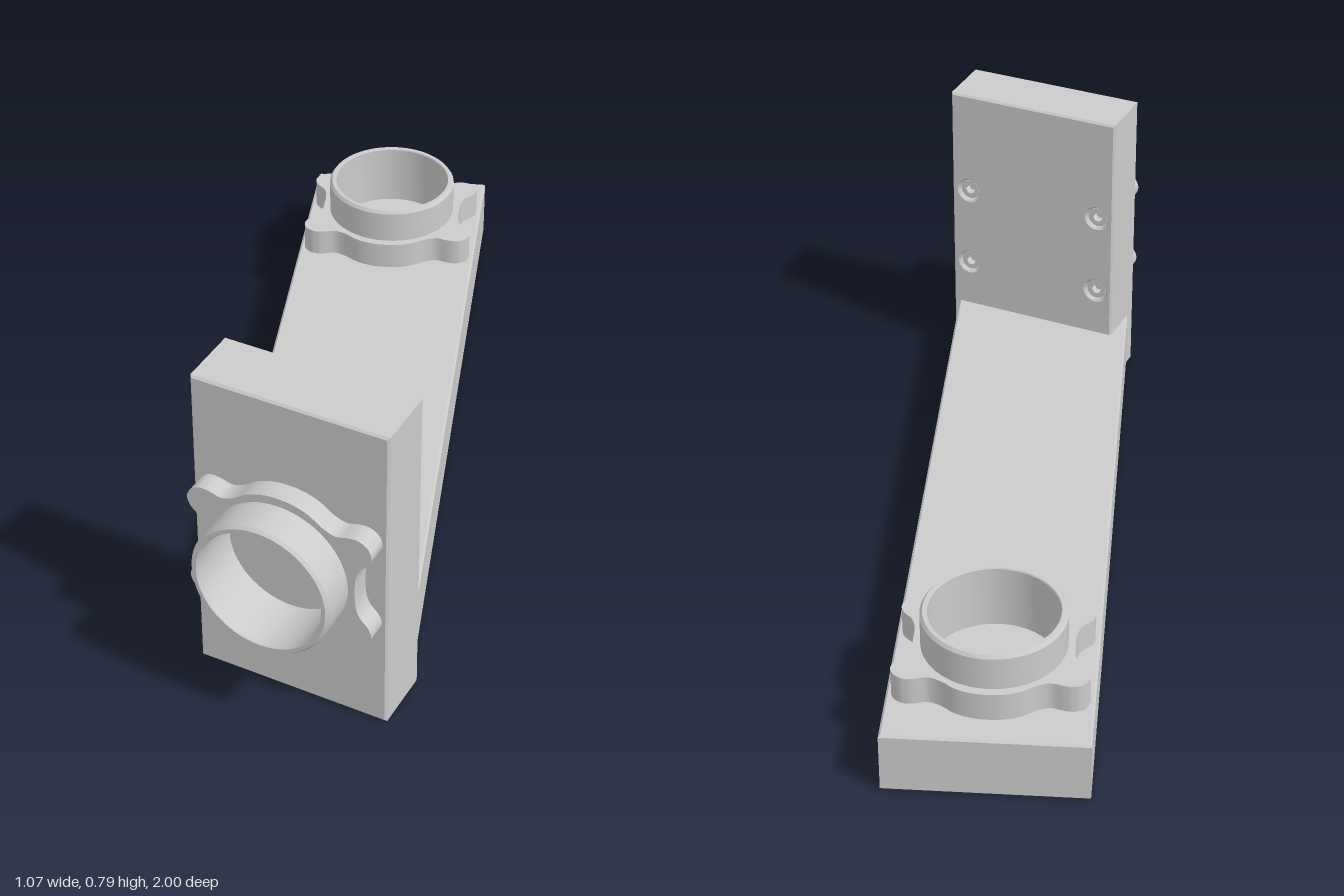
import * as THREE from 'three';
import { toCreasedNormals } from 'three/addons/utils/BufferGeometryUtils.js';

const material = new THREE.MeshStandardMaterial({ color: 0xcccccc });
const THICK = 0.155, BEVEL = 0.005, TILT = THREE.MathUtils.degToRad(20);
const BOLTS = [[1, 1], [-1, 1], [-1, -1], [1, -1]].map(([x, y]) => new THREE.Vector2(x * 0.185, y * 0.11));

function mesh(name, geometry, crease = 0.5) {
  const m = new THREE.Mesh(toCreasedNormals(geometry, crease), material);
  m.name = name;
  return m;
}

function circle(x, y, r) {
  return new THREE.Path().absarc(x, y, r, 0, Math.PI * 2, true);
}

// Chamfered plate, pierced by the four bolt holes around a centre
function plate(corners, centre, angle) {
  const shape = new THREE.Shape(corners.map(([x, y]) => new THREE.Vector2(x, y)));
  for (const b of BOLTS) {
    const p = b.clone().rotateAround(new THREE.Vector2(), angle).add(centre);
    shape.holes.push(circle(p.x, p.y, 0.029));
  }
  const g = new THREE.ExtrudeGeometry(shape, {
    depth: THICK - 2 * BEVEL, bevelThickness: BEVEL, bevelSize: BEVEL,
    bevelOffset: -BEVEL, bevelSegments: 1, curveSegments: 14,
  });
  return g.translate(0, 0, BEVEL);
}

// Four-lobed flange outline, mirrored from one quarter
function flangeShape() {
  const q = [[0, 0.185], [0.04, 0.181], [0.075, 0.168], [0.105, 0.147], [0.135, 0.136],
    [0.165, 0.143], [0.19, 0.144], [0.212, 0.13], [0.22, 0.108], [0.212, 0.086],
    [0.193, 0.066], [0.183, 0.04], [0.181, 0]];
  const half = [...q, ...q.slice(0, -1).reverse().map(([x, y]) => [x, -y])];
  const all = [...half, ...half.slice(1, -1).reverse().map(([x, y]) => [-x, y])];
  const curve = new THREE.CatmullRomCurve3(all.map(([x, y]) => new THREE.Vector3(x, y, 0)), true);
  const points = curve.getPoints(144).slice(0, -1).map((p) => new THREE.Vector2(p.x, p.y));
  const shape = new THREE.Shape(points);
  shape.holes.push(circle(0, 0, 0.148));
  return shape;
}

// Socket-head screw whose head faces -z
function screw() {
  const g = new THREE.Group();
  g.name = 'screw';
  const head = new THREE.Shape().absarc(0, 0, 0.026, 0, Math.PI * 2, false);
  const hex = [];
  for (let i = 0; i < 6; i++) {
    const a = -i * Math.PI / 3;
    hex.push(new THREE.Vector2(0.013 * Math.cos(a), 0.013 * Math.sin(a)));
  }
  head.holes.push(new THREE.Path(hex));
  g.add(mesh('screwHead', new THREE.ExtrudeGeometry(head, { depth: 0.02, bevelEnabled: false, curveSegments: 14 })));
  const shank = new THREE.CylinderGeometry(0.029, 0.029, 0.06, 24).rotateX(Math.PI / 2).translate(0, 0, 0.05);
  g.add(mesh('screwShank', shank));
  return g;
}

// Flanged collar standing along +z, with its screws on the far side of the plate
function collar(name, plateDepth) {
  const g = new THREE.Group();
  g.name = name;
  g.add(mesh('flange', new THREE.ExtrudeGeometry(flangeShape(), { depth: 0.07, bevelEnabled: false, curveSegments: 32 })));
  const profile = [[0.165, 0], [0.165, 0.152], [0.159, 0.16], [0.15, 0.16], [0.148, 0.157], [0.148, 0]];
  const tube = new THREE.LatheGeometry(profile.map(([x, y]) => new THREE.Vector2(x, y)), 64);
  g.add(mesh('collarTube', tube.rotateX(Math.PI / 2)));
  for (const b of BOLTS) {
    const s = screw();
    s.position.set(b.x, b.y, -plateDepth + 0.008);
    g.add(s);
  }
  return g;
}

export function createModel() {
  const model = new THREE.Group();
  model.name = 'angledBracket';

  // Upright plate at the front
  const upright = mesh('uprightPlate',
    plate([[0.07, 0], [0.535, 0], [0.535, 0.785], [0.07, 0.785]], new THREE.Vector2(0.302, 0.394), 0));
  upright.position.z = 0.705;
  model.add(upright);

  // Flat arm running diagonally back, its front end buried in the upright
  const arm = mesh('baseArm',
    plate([[-0.535, 0.84], [0.078, -0.845], [0.53, -0.845], [0.53, -0.73], [-0.1, 1]],
      new THREE.Vector2(-0.23, 0.68), TILT));
  arm.rotation.x = -Math.PI / 2;
  model.add(arm);

  // Collars on both plates
  const front = collar('frontCollar', 0.84 - 0.705);
  front.position.set(0.302, 0.394, 0.84);
  model.add(front);

  const rear = collar('rearCollar', THICK);
  rear.position.set(-0.23, THICK, -0.68);
  rear.rotation.set(-Math.PI / 2, TILT, 0, 'YXZ');
  model.add(rear);

  return model;
}
